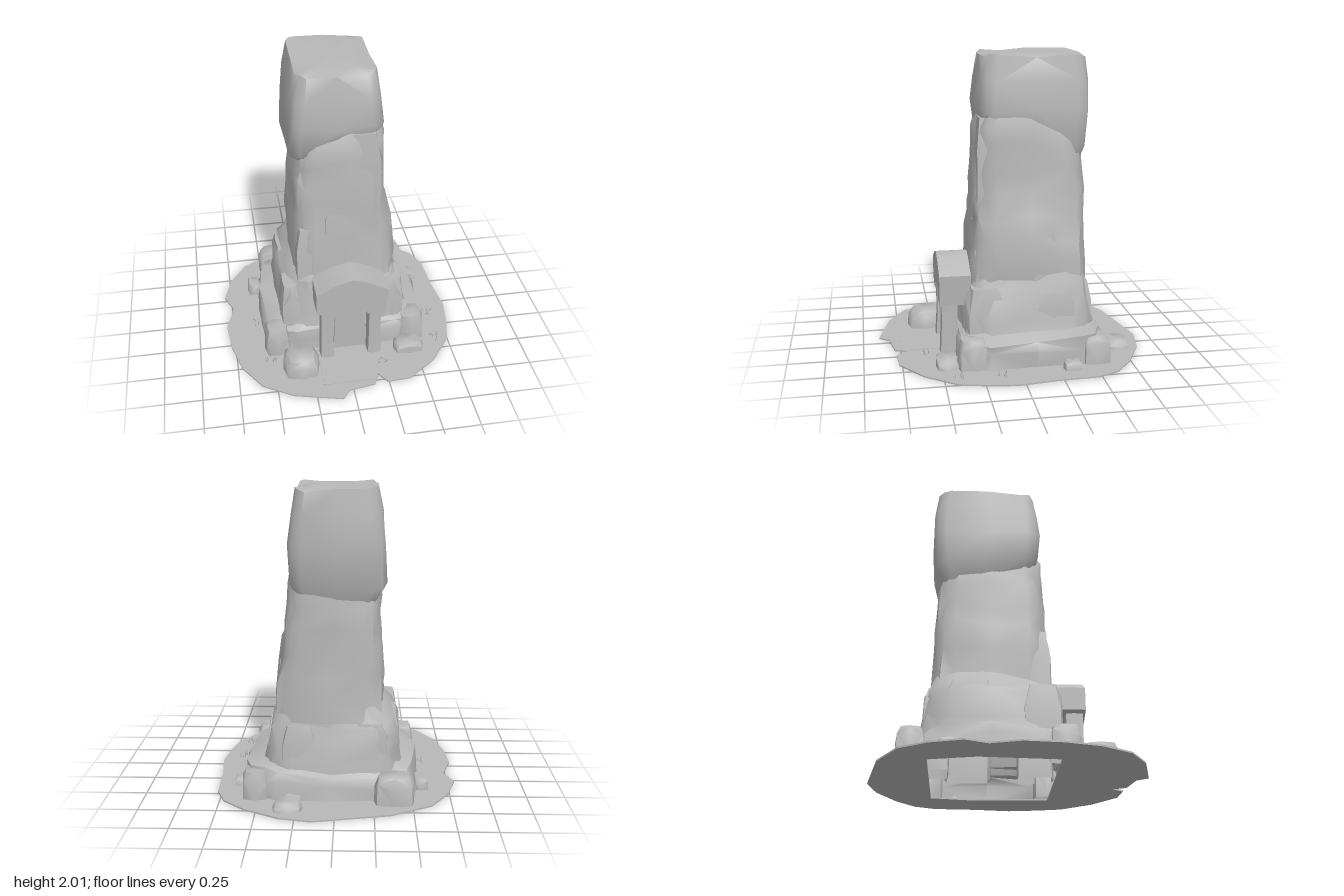
import * as THREE from 'three';
import { toCreasedNormals } from 'three/addons/utils/BufferGeometryUtils.js';

const stone = new THREE.MeshStandardMaterial({ color: 0xb8b8b8, side: THREE.DoubleSide });
stone.name = 'grey stone';

// Small seeded generator for the rough stone
let seed = 7;
const rnd = () => {
  seed = (seed * 16807) % 2147483647;
  return seed / 2147483647 - 0.5;
};

// Squarish hollow rock lofted through levels [y, x0, x1, z0, z1]; tilt shifts heights, dents go inward
function rockGeometry(levels, { sides = 16, square = 0.38, rough = 0.03, crease = 0.9, top = true, tilt = () => 0 } = {}) {
  const pos = [], idx = [], last = levels.length - 1;
  const soft = (c) => Math.sign(c) * Math.pow(Math.abs(c), square);
  levels.forEach(([y, x0, x1, z0, z1], i) => {
    for (let j = 0; j < sides; j++) {
      const a = (j / sides) * Math.PI * 2;
      const u = soft(Math.cos(a)), v = soft(Math.sin(a)), k = 1 + (rnd() - 0.3) * rough * 2;
      const wobble = i > 0 && i < last ? rnd() * rough * 2 : 0;
      pos.push((x0 + x1) / 2 + (u * k * (x1 - x0)) / 2,
        y + wobble + tilt(u, v, i / last),
        (z0 + z1) / 2 + (v * k * (z1 - z0)) / 2);
    }
  });
  for (let i = 0; i < last; i++) for (let j = 0; j < sides; j++) {
    const a = i * sides + j, b = i * sides + (j + 1) % sides;
    // Alternating diagonals give irregular facets
    if ((i + j) % 2) idx.push(a, a + sides, b, b, a + sides, b + sides);
    else idx.push(a, b + sides, b, a, a + sides, b + sides);
  }
  if (top) {
    const [y, x0, x1, z0, z1] = levels[last], c = pos.length / 3;
    pos.push((x0 + x1) / 2, y + tilt(0, 0, 1), (z0 + z1) / 2);
    for (let j = 0; j < sides; j++) idx.push(c, last * sides + (j + 1) % sides, last * sides + j);
  }
  const g = new THREE.BufferGeometry();
  g.setAttribute('position', new THREE.Float32BufferAttribute(pos, 3));
  g.setIndex(idx);
  return toCreasedNormals(g, crease);
}

// Extents of a footprint scaled about its middle
const box = (x, z, w, d, s) => [x - (w * s) / 2, x + (w * s) / 2, z - (d * s) / 2, z + (d * s) / 2];

export function createModel() {
  const model = new THREE.Group();
  model.name = 'rockTower';
  const add = (name, geometry) => {
    const m = new THREE.Mesh(geometry, stone);
    m.name = name;
    model.add(m);
    return m;
  };
  const rock = (name, levels, options) => add(name, rockGeometry(levels, options));

  // Flat irregular ground, open under the tower
  const outline = [[0.14, -0.9], [0.35, -0.86], [0.58, -0.74], [0.72, -0.62], [0.78, -0.48], [0.79, -0.2],
    [0.82, 0.05], [0.79, 0.25], [0.75, 0.42], [0.6, 0.62], [0.4, 0.77], [0.24, 0.78], [0.19, 0.7],
    [0.15, 0.79], [-0.03, 0.82], [-0.08, 0.89], [-0.4, 0.81], [-0.6, 0.69], [-0.72, 0.5], [-0.78, 0.28],
    [-0.8, 0.05], [-0.74, -0.14], [-0.8, -0.28], [-0.74, -0.48], [-0.62, -0.66], [-0.36, -0.8]];
  const groundShape = new THREE.Shape(outline.map(([x, z]) => new THREE.Vector2(x, -z)));
  groundShape.holes.push(new THREE.Path([[-0.46, -0.3], [0.5, -0.3], [0.53, 0.2], [0.48, 0.5], [-0.42, 0.5], [-0.49, 0.2]]
    .map((p) => new THREE.Vector2(...p))));
  add('ground', new THREE.ExtrudeGeometry(groundShape, { depth: 0.01, bevelEnabled: false }).rotateX(-Math.PI / 2));

  // Stepped foot of the tower
  rock('plinth', [[0, -0.56, 0.61, -0.63, 0.4], [0.11, -0.55, 0.61, -0.62, 0.39], [0.18, -0.54, 0.6, -0.6, 0.38],
    [0.22, -0.42, 0.47, -0.53, 0.33]], { sides: 20, rough: 0.035, square: 0.42, top: false });
  rock('skirt', [[0.17, -0.46, 0.5, -0.58, 0.37], [0.28, -0.43, 0.48, -0.56, 0.35], [0.42, -0.42, 0.46, -0.55, 0.33],
    [0.5, -0.41, 0.43, -0.53, 0.31], [0.59, -0.32, 0.39, -0.49, 0.27]],
  { sides: 20, rough: 0.035, square: 0.45, top: false, tilt: (u, v, t) => t * 0.03 * Math.sin(4 * u + 3 * v) });

  // Main shaft, with a shoulder rising to the left of the front
  rock('shaft', [[0.5, -0.33, 0.41, -0.52, 0.29], [0.64, -0.32, 0.41, -0.51, 0.28], [0.8, -0.32, 0.4, -0.5, 0.28],
    [0.95, -0.31, 0.37, -0.5, 0.27], [1.1, -0.3, 0.34, -0.5, 0.26], [1.25, -0.3, 0.32, -0.49, 0.25],
    [1.4, -0.29, 0.32, -0.48, 0.24], [1.5, -0.27, 0.31, -0.46, 0.23], [1.6, -0.2, 0.26, -0.42, 0.17]],
  { sides: 20, rough: 0.045, square: 0.4, top: false, tilt: (u, v, t) => Math.max(0, t - 0.6) * (u * 0.2 + v * 0.1) });

  // Overhanging cap, softened over its top edge
  rock('cap', [[1.36, -0.25, 0.25, -0.44, 0.14], [1.45, -0.33, 0.3, -0.51, 0.2], [1.65, -0.32, 0.31, -0.53, 0.22],
    [1.84, -0.3, 0.29, -0.53, 0.21], [1.99, -0.27, 0.26, -0.5, 0.18], [2, -0.16, 0.15, -0.39, 0.07]],
  { square: 0.32, rough: 0.02, crease: 1.2,
    tilt: (u, v, t) => Math.max(0, 0.4 - t) * 2.5 * (u * 0.06 * (v + 1) + v * 0.12) });

  // Slabs leaning against the shaft: [x, z, width, depth, bottom, top]
  [[-0.2, 0.16, 0.22, 0.22, 0.3, 0.92], [0.21, 0.16, 0.2, 0.24, 0.3, 0.82], [0.02, 0.17, 0.28, 0.2, 0.5, 1.15],
    [0.32, -0.15, 0.17, 0.36, 0.3, 0.85], [-0.22, -0.2, 0.16, 0.34, 0.3, 0.95], [0.05, -0.42, 0.36, 0.18, 0.2, 0.68],
    [0.15, 0.16, 0.28, 0.16, 0.8, 1.6], [-0.18, 0.0, 0.2, 0.3, 0.9, 1.35],
    [-0.35, 0.2, 0.15, 0.26, 0.1, 0.5], [0.36, 0.2, 0.18, 0.26, 0.1, 0.5], [-0.35, -0.25, 0.14, 0.34, 0.1, 0.53],
    [0.39, -0.25, 0.14, 0.32, 0.1, 0.46], [-0.22, -0.46, 0.26, 0.17, 0.1, 0.5], [0.24, -0.46, 0.24, 0.17, 0.1, 0.48],
  ].forEach(([x, z, w, d, y0, y1]) => {
    rock('leaningSlab', [[y0, ...box(x, z, w, d, 1)], [y0 + (y1 - y0) * 0.7, ...box(x, z, w, d, 1)],
      [y1, ...box(x, z, w, d, 0.7)]], { sides: 8, rough: 0.06 });
  });

  // Loose boulders on the ground: [x, z, width, depth, height]
  [[-0.32, 0.55, 0.25, 0.25, 0.13], [-0.38, -0.6, 0.27, 0.19, 0.19], [0.3, -0.72, 0.2, 0.18, 0.06],
    [0.45, 0.46, 0.22, 0.16, 0.07], [-0.46, 0.32, 0.18, 0.2, 0.2], [0.49, 0.3, 0.2, 0.2, 0.2],
    [0.63, -0.34, 0.11, 0.13, 0.06], [-0.57, -0.36, 0.1, 0.16, 0.08], [0.52, -0.52, 0.18, 0.2, 0.19],
  ].forEach(([x, z, w, d, h]) => {
    rock('boulder', [[0, ...box(x, z, w, d, 1)], [h * 0.7, ...box(x, z, w, d, 0.97)], [h, ...box(x, z, w, d, 0.75)]],
      { sides: 8, square: 0.5, rough: 0.03, crease: 1.2 });
  });

  // Doorway: arched recess face, two posts and a heavy peaked lintel
  const arch = new THREE.Shape();
  arch.moveTo(-0.07, 0).lineTo(0.17, 0).lineTo(0.14, 0.4).quadraticCurveTo(0.09, 0.49, 0, 0.46).lineTo(-0.06, 0.38);
  add('doorPanel', new THREE.ExtrudeGeometry(arch, { depth: 0.02, bevelEnabled: false })).position.z = 0.38;
  for (const x of [-0.125, 0.205]) {
    rock('doorPost', [[0, x - 0.05, x + 0.05, 0.36, 0.49], [0.2, x - 0.045, x + 0.045, 0.36, 0.48],
      [0.4, x - 0.045, x + 0.045, 0.36, 0.48]], { sides: 8, square: 0.25, rough: 0.02 });
  }
  const lintel = new THREE.Shape([[-0.2, 0.41], [-0.08, 0.36], [-0.06, 0.42], [0, 0.48], [0.1, 0.47], [0.15, 0.37],
    [0.27, 0.35], [0.29, 0.56], [0.14, 0.64], [0.05, 0.665], [-0.08, 0.63], [-0.2, 0.56]].map((p) => new THREE.Vector2(...p)));
  add('lintel', toCreasedNormals(new THREE.ExtrudeGeometry(lintel, { depth: 0.21, bevelEnabled: false }), 0.6))
    .position.z = 0.28;

  // Path slab before the door
  add('path', new THREE.BoxGeometry(0.36, 0.006, 0.38).translate(-0.01, 0.01, 0.56));

  // Grass tufts
  for (const [x, z] of [[0.68, 0.12], [0.66, 0.4], [-0.52, 0.44], [-0.57, 0.04], [0.25, 0.6]]) {
    for (let i = 0; i < 7; i++) {
      const blade = add('grassBlade', new THREE.ConeGeometry(0.004, 0.05, 3).translate(0, 0.025, 0));
      blade.position.set(x + rnd() * 0.08, 0.005, z + rnd() * 0.08);
      blade.rotation.set(rnd() * 0.8, 0, rnd() * 0.8);
    }
  }
  return model;
}
